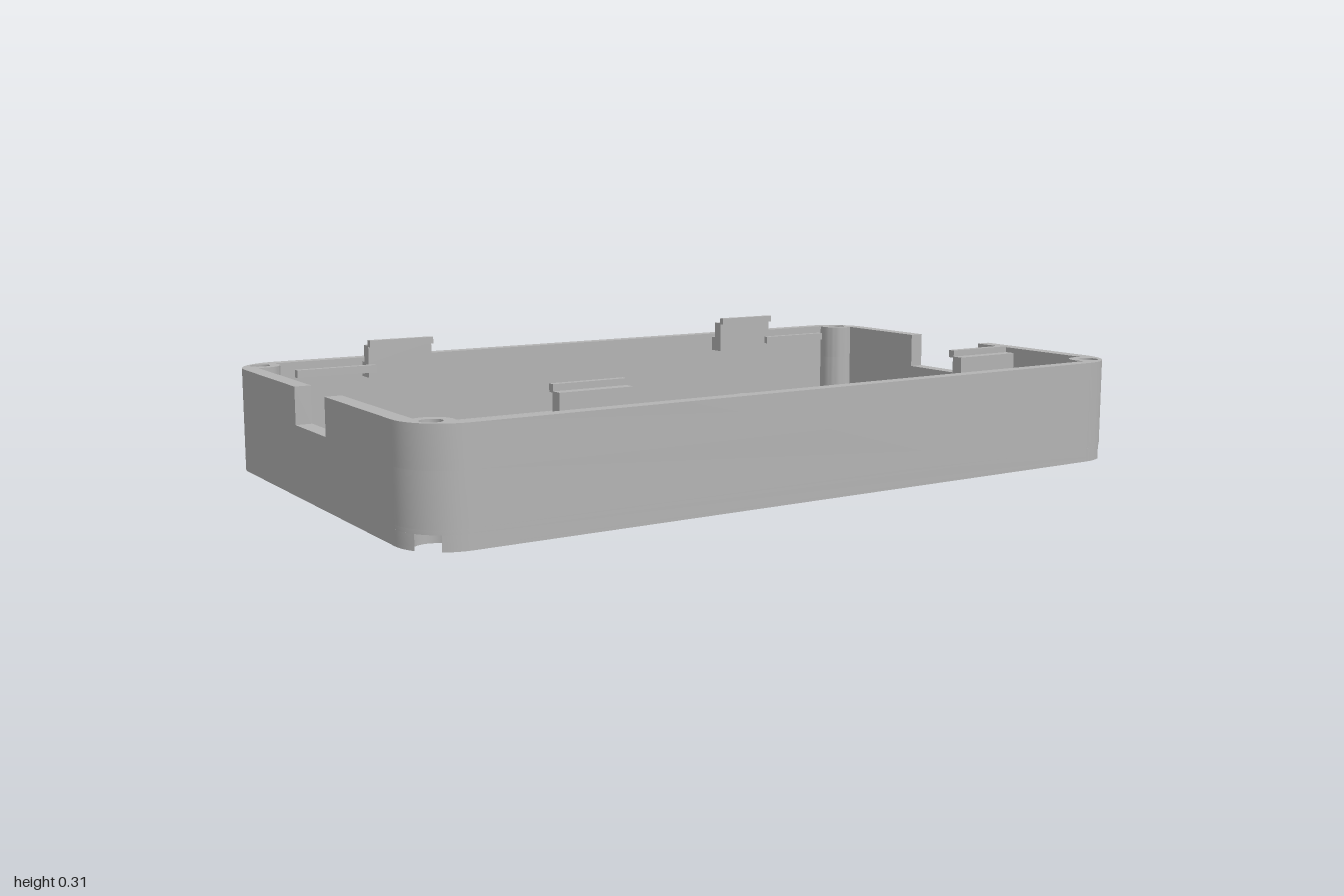
import * as THREE from 'three';
import { toCreasedNormals } from 'three/addons/utils/BufferGeometryUtils.js';

const X = 1, Z = 0.59, WALL = 0.04, R = 0.12;   // outer half sizes, wall, corner radius
const TOP = 0.26, FLOOR = 0.045, SILL = 0.165;  // heights
const SCREW = [0.94, 0.53];
const QUADS = [[1, 1], [-1, 1], [-1, -1], [1, -1]];

// Points on an arc, angles in radians
function arc(cx, cz, r, a, b, n) {
  return Array.from({ length: n + 1 }, (_, i) => {
    const t = a + (b - a) * i / n;
    return new THREE.Vector2(cx + r * Math.cos(t), cz + r * Math.sin(t));
  });
}

// Plain rounded outer corner
const outerCorner = arc(X - R, Z - R, R, 0, Math.PI / 2, 12);

// Outer corner broken open by the screw head counterbore
function notchedCorner() {
  const r = 0.043, d = Math.hypot(SCREW[0] - X + R, SCREW[1] - Z + R), q = Math.PI / 4;
  const phi = Math.acos((d * d + R * R - r * r) / (2 * d * R));
  const psi = Math.acos((R * R - d * d - r * r) / (2 * d * r));
  return [
    ...arc(X - R, Z - R, R, 0, q - phi, 6),
    ...arc(...SCREW, r, q - psi, q + psi - 2 * Math.PI, 20).slice(1, -1),
    ...arc(X - R, Z - R, R, q + phi, 2 * q, 6),
  ];
}

// Inner corner wrapping around the screw boss
function bossCorner() {
  const r = 0.05;
  const a = -Math.acos((X - WALL - SCREW[0]) / r);
  const b = Math.PI - Math.asin((Z - 0.035 - SCREW[1]) / r) - 2 * Math.PI;
  return arc(...SCREW, r, a, b, 16);
}

// Mirror one corner into the given quadrants, going counter-clockwise
function around(corner, quads = QUADS) {
  return quads.flatMap(([sx, sz]) => {
    const pts = corner.map(p => new THREE.Vector2(p.x * sx, p.y * sz));
    return sx * sz < 0 ? pts.reverse() : pts;
  });
}

const circle = (x, z, r) => new THREE.Path(arc(x, z, r, 0, Math.PI * 2, 24).slice(0, -1));
const screwHoles = (quads = QUADS) => quads.map(([sx, sz]) => circle(SCREW[0] * sx, SCREW[1] * sz, 0.025));

export function createModel() {
  const group = new THREE.Group();
  const plastic = new THREE.MeshStandardMaterial({ color: 0xb3b3b3 });
  plastic.name = 'grey plastic';

  function add(name, geometry) {
    const mesh = new THREE.Mesh(geometry, plastic);
    mesh.name = name;
    group.add(mesh);
  }
  // Upright slab from a plan outline in x and z
  function slab(name, points, holes, y0, y1) {
    const shape = new THREE.Shape(points);
    shape.holes = holes;
    const g = new THREE.ExtrudeGeometry(shape, { depth: y1 - y0, bevelEnabled: false });
    g.rotateX(Math.PI / 2).translate(0, y1, 0);
    add(name, toCreasedNormals(g, 0.5));
  }
  function box(name, x0, x1, y0, y1, z0, z1) {
    const g = new THREE.BoxGeometry(Math.abs(x1 - x0), y1 - y0, Math.abs(z1 - z0));
    add(name, g.translate((x0 + x1) / 2, (y0 + y1) / 2, (z0 + z1) / 2));
  }
  const rect = (x0, x1, z0, z1) =>
    [[x0, z0], [x1, z0], [x1, z1], [x0, z1]].map(p => new THREE.Vector2(...p));

  // Floor: underside with label and foot recesses, then solid layers
  const notched = around(notchedCorner());
  const recesses = [
    new THREE.Path(rect(-0.53, 0.53, -0.215, 0.215)),
    ...QUADS.map(([sx, sz]) => circle(0.765 * sx, 0.365 * sz, 0.057)),
  ];
  slab('underside', notched, recesses, 0, 0.008);
  slab('floorCore', notched, [], 0.008, 0.035);
  slab('floorTop', around(outerCorner), screwHoles(), 0.035, FLOOR);

  // Lower wall all the way round, with screw bosses
  slab('lowerWall', around(outerCorner),
    [new THREE.Path(around(bossCorner())), ...screwHoles()], FLOOR, SILL);

  // Upper wall in two halves, leaving the cable openings at each end
  function upperWall(name, quads, zStart, zEnd) {
    const s = quads[0][0], xi = X - WALL;
    slab(name, [
      new THREE.Vector2(s * X, zStart), ...around(outerCorner, quads), new THREE.Vector2(-s * X, zEnd),
      new THREE.Vector2(-s * xi, zEnd), ...around(bossCorner(), quads).reverse(),
      new THREE.Vector2(s * xi, zStart),
    ], screwHoles(quads), SILL, TOP);
  }
  upperWall('frontUpperWall', QUADS.slice(0, 2), 0.095, 0.095);
  upperWall('backUpperWall', QUADS.slice(2), -0.1, -0.19);
  box('rightSill', -X, -X + WALL, SILL, 0.17, -0.1, 0.095);

  // Raised frame on the floor
  slab('floorFrame', rect(-0.915, 0.045, -0.515, 0.155),
    [new THREE.Path(rect(-0.902, 0.032, -0.502, 0.142))], FLOOR, 0.075);

  // Hollow standoffs
  for (const [x, z] of [[0.08, -0.395], [0.49, -0.395], [0.835, -0.285]]) {
    slab('standoff', circle(x, z, 0.028).getPoints(), [circle(x, z, 0.014)], FLOOR, 0.09);
  }

  // Snap clips with side ribs
  for (const [sx, sz] of QUADS) {
    const x0 = sx * 0.475, x1 = sx * 0.655;
    box('clipBase', x0, x1, 0.21, 0.25, sz * 0.51, sz * 0.56);
    box('clipTab', x0, x1, 0.25, 0.295, sz * 0.51, sz * 0.54);
    box('clipLip', x0, x1, 0.292, 0.31, sz * 0.496, sz * 0.513);
    box('clipRib', sx * 0.64, sx * 0.855, 0.225, 0.245, sz * 0.495, sz * 0.513);
  }
  return group;
}
